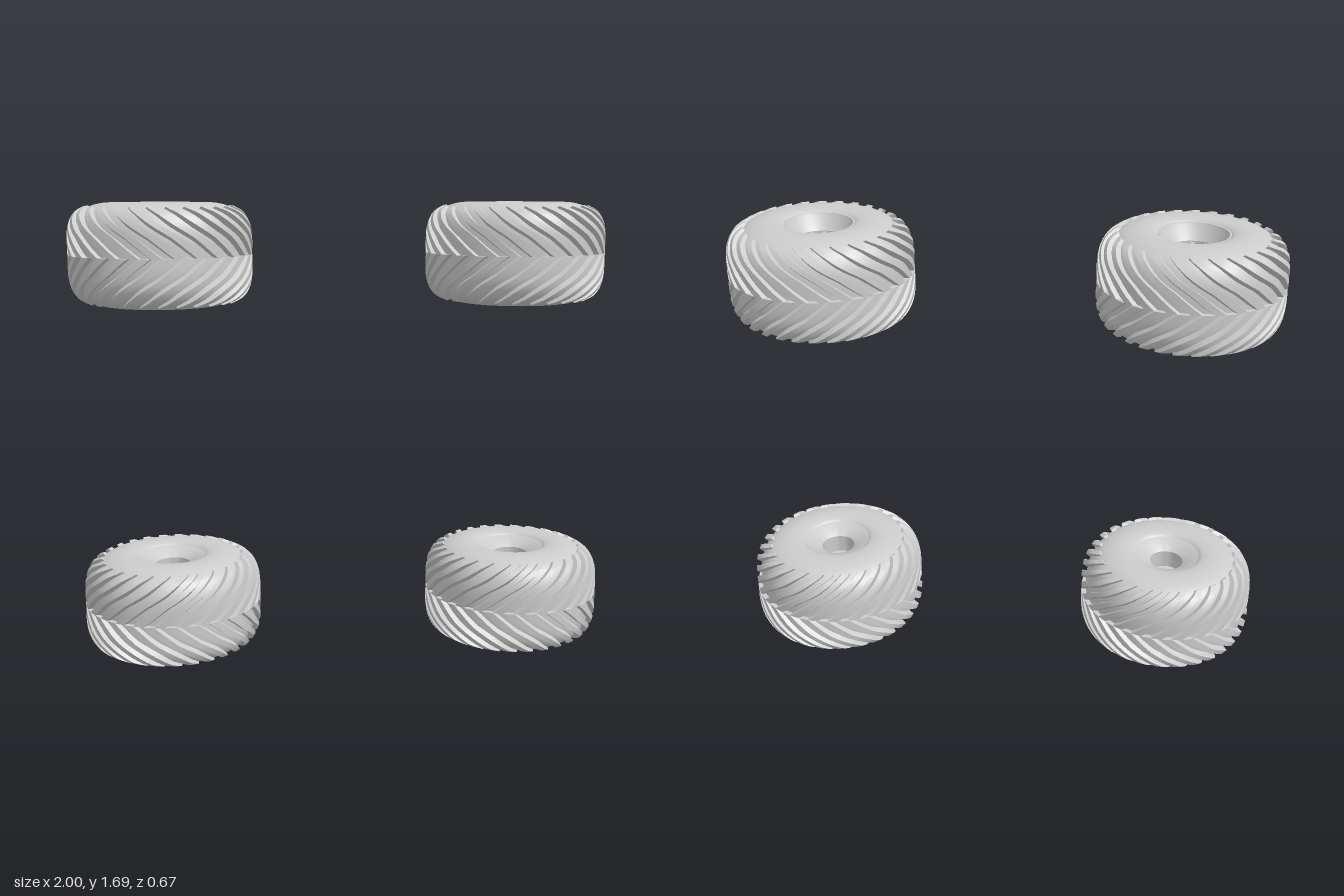
import * as THREE from 'three';
import { mergeGeometries, toCreasedNormals } from 'three/addons/utils/BufferGeometryUtils.js';

const LUGS = 26;
const SWEEP = 0.8;
const material = new THREE.MeshStandardMaterial({ color: 0xcccccc });

const curve = (pts) => new THREE.CatmullRomCurve3(pts.map(([r, y]) => new THREE.Vector3(r, y, 0)));
const vec2 = (pts) => pts.map(([r, y]) => new THREE.Vector2(r, y));

// Smooth balloon carcass, from the inner bead round to the outer bead
function carcassGeometry() {
  const half = [[0.315, 0], [0.314, 0.06], [0.304, 0.11], [0.282, 0.15], [0.25, 0.172],
    [0.205, 0.184], [0.165, 0.185], [0.135, 0.179], [0.121, 0.168]];
  const lower = half.slice(1).reverse().map(([r, y]) => [r, -y]);
  const pts = curve([...lower, ...half]).getPoints(48);
  return new THREE.LatheGeometry(pts.map((p) => new THREE.Vector2(p.x, p.y)), 72);
}

// One curved tread lug, from the centre line over the shoulder; side = 1 or -1
function lugGeometry(side) {
  const outer = curve([[0.333, 0], [0.333, 0.07], [0.325, 0.115], [0.303, 0.153], [0.268, 0.174]]);
  const inner = curve([[0.305, 0], [0.305, 0.06], [0.297, 0.1], [0.275, 0.14], [0.252, 0.163]]);
  const steps = 12;
  const pos = [];
  const index = [];
  const quad = (a, b, c, d) => index.push(...(side > 0 ? [a, b, c, a, c, d] : [a, c, b, a, d, c]));
  for (let k = 0; k <= steps; k++) {
    const t = k / steps;
    const o = outer.getPoint(t);
    const i = inner.getPoint(t);
    const mid = -SWEEP * t * (1.45 - 0.45 * t);
    const taper = 1 - 0.2 * t;
    for (const [p, w] of [[i, -0.085], [o, -0.058], [o, 0.058], [i, 0.085]]) {
      const a = mid + w * taper;
      pos.push(p.x * Math.sin(a), p.y * side, p.x * Math.cos(a));
    }
    if (k < steps) {
      for (let j = 0; j < 3; j++) {
        const a = k * 4 + j;
        quad(a, a + 1, a + 5, a + 4);
      }
    }
  }
  const e = steps * 4;
  quad(e, e + 1, e + 2, e + 3);
  quad(3, 2, 1, 0);
  const g = new THREE.BufferGeometry();
  g.setAttribute('position', new THREE.Float32BufferAttribute(pos, 3));
  g.setIndex(index);
  return toCreasedNormals(g, 0.5);
}

// Chevron tread, the two halves staggered by half a pitch
function treadGeometry() {
  const parts = [];
  for (const side of [1, -1]) {
    const lug = lugGeometry(side);
    for (let n = 0; n < LUGS; n++) {
      const turn = ((n + (side > 0 ? 0 : 0.5)) / LUGS) * Math.PI * 2;
      parts.push(lug.clone().rotateY(turn));
    }
  }
  return mergeGeometries(parts);
}

// Dished rim: shallow socket on the inner face, deep bowl on the outer face
function rimGeometry() {
  const profile = [[0, -0.07], [0.064, -0.07], [0.064, -0.14], [0.07, -0.145], [0.115, -0.168], [0.125, -0.172]];
  const bowl = [[0.127, 0.174], [0.12, 0.174], [0.116, 0.165], [0.09, 0.125], [0.085, 0.118],
    [0.085, 0.06], [0, 0.06]];
  return toCreasedNormals(new THREE.LatheGeometry(vec2([...profile, ...bowl]), 48), 0.6);
}

// Spokes tapering from the rim towards the hub
function spokesGeometry() {
  const parts = [];
  for (let n = 0; n < 10; n++) {
    const g = new THREE.BoxGeometry(0.013, 0.016, 0.078);
    const p = g.attributes.position;
    for (let i = 0; i < p.count; i++) {
      if (p.getZ(i) < 0) p.setX(i, p.getX(i) * 0.55);
    }
    g.translate(0, 0.106, 0.049).rotateY((n / 10) * Math.PI * 2);
    parts.push(g);
  }
  return mergeGeometries(parts);
}

// Central hub with a stepped cap
function hubGeometry() {
  const profile = [[0.022, 0.06], [0.022, 0.112], [0.016, 0.118], [0.014, 0.126], [0, 0.126]];
  return toCreasedNormals(new THREE.LatheGeometry(vec2(profile), 24), 0.5);
}

export function createModel() {
  const model = new THREE.Group();
  model.name = 'wheelSet';
  const parts = {
    tyre: carcassGeometry(),
    tread: treadGeometry(),
    rim: rimGeometry(),
    spokes: spokesGeometry(),
    hub: hubGeometry(),
  };
  // Upper wheels face up, lower wheels are turned over to face down
  const layout = [
    ['upperRightWheel', -0.667, 1.5, 0],
    ['upperLeftWheel', 0.65, 1.5, 0],
    ['lowerRightWheel', -0.655, 0.185, Math.PI],
    ['lowerLeftWheel', 0.667, 0.185, Math.PI],
  ];
  for (const [name, x, y, turn] of layout) {
    const wheel = new THREE.Group();
    wheel.name = name;
    for (const [part, geometry] of Object.entries(parts)) {
      const mesh = new THREE.Mesh(geometry, material);
      mesh.name = part;
      wheel.add(mesh);
    }
    wheel.position.set(x, y, 0);
    wheel.rotation.x = turn;
    model.add(wheel);
  }
  return model;
}
